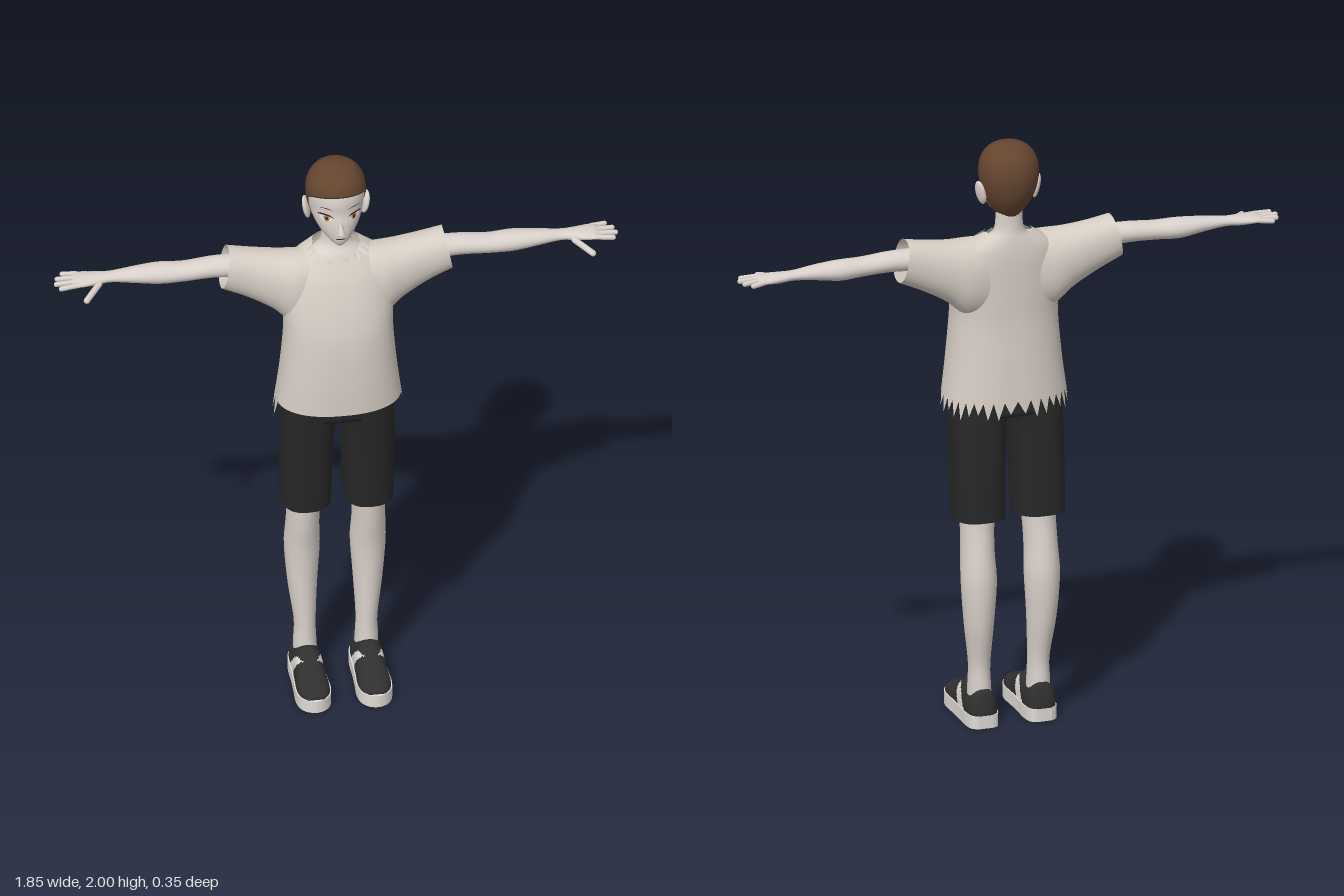
import * as THREE from 'three';

const mat = (name, color, side = THREE.FrontSide) => {
  const m = new THREE.MeshStandardMaterial({ color, side });
  m.name = name;
  return m;
};

// Smooth lookup in rows sorted by their first number
function at(rows, key) {
  const n = rows.length;
  let k = 0;
  while (k < n - 2 && key > rows[k + 1][0]) k++;
  const r0 = rows[k], r1 = rows[k + 1], h = r1[0] - r0[0];
  const t = Math.min(1, Math.max(0, (key - r0[0]) / h)), t2 = t * t, t3 = t2 * t;
  const slope = (i, c) => {
    const a = rows[Math.max(0, i - 1)], b = rows[Math.min(n - 1, i + 1)];
    return (b[c] - a[c]) / (b[0] - a[0]);
  };
  return r0.map((v, c) => c === 0 ? key
    : (2 * t3 - 3 * t2 + 1) * v + (t3 - 2 * t2 + t) * h * slope(k, c)
    + (3 * t2 - 2 * t3) * r1[c] + (t3 - t2) * h * slope(k + 1, c));
}

// Loft of rounded sections; each row is [key, lo1, hi1, lo2, hi2]
// axis y: extents in x, z; axis x: extents in z, y; axis z: extents in y, x
const PLACE = { y: (k, a, b) => [a, k, b], x: (k, a, b) => [k, b, a], z: (k, a, b) => [b, a, k] };
function loft(axis, rows, o = {}) {
  const { nu = 28, nv = 32, power = 2, grow = 0, warp, pick, caps = true, ease = false } = o;
  const lo = o.lo ?? (() => rows[0][0]), hi = o.hi ?? (() => rows[rows.length - 1][0]);
  const pos = [], rings = [];
  const pw = v => Math.sign(v) * Math.abs(v) ** (2 / power);
  for (let i = 0; i <= nu; i++) {
    const ring = [], u = ease ? Math.sin(i / nu * Math.PI / 2) : i / nu;
    for (let j = 0; j < nv; j++) {
      const a = j / nv * Math.PI * 2, l = lo(a, j);
      const r = at(rows, l + (hi(a, j) - l) * u);
      const p = PLACE[axis](r[0],
        (r[1] + r[2]) / 2 + ((r[2] - r[1]) / 2 + grow) * pw(Math.cos(a)),
        (r[3] + r[4]) / 2 + ((r[4] - r[3]) / 2 + grow) * pw(Math.sin(a)));
      if (warp) warp(p, u, a);
      ring.push(p);
    }
    rings.push(ring);
  }
  if (caps) {
    const flat = ring => {
      const c = [0, 1, 2].map(d => ring.reduce((s, p) => s + p[d], 0) / nv);
      return ring.map(() => c);
    };
    rings.unshift(flat(rings[0]));
    rings.push(flat(rings[rings.length - 1]));
  }
  rings.forEach(r => r.forEach(p => pos.push(...p)));
  const lists = [[], []];
  for (let i = 0; i < rings.length - 1; i++) for (let j = 0; j < nv; j++) {
    const A = i * nv + j, B = i * nv + (j + 1) % nv, C = A + nv, D = B + nv;
    const mid = [0, 1, 2].map(d => (pos[A * 3 + d] + pos[D * 3 + d]) / 2);
    lists[pick ? pick(mid) : 0].push(A, C, B, B, C, D);
  }
  const g = new THREE.BufferGeometry();
  g.setAttribute('position', new THREE.Float32BufferAttribute(pos, 3));
  g.setIndex([...lists[0], ...lists[1]]);
  if (pick) {
    g.addGroup(0, lists[0].length, 0);
    g.addGroup(lists[0].length, lists[1].length, 1);
  }
  g.computeVertexNormals();
  return g;
}

// Copy of a geometry reflected to the other side
function mirrored(geo) {
  const g = geo.clone().scale(-1, 1, 1);
  const idx = g.index ? Array.from(g.index.array) : [...Array(g.attributes.position.count).keys()];
  for (let i = 0; i < idx.length; i += 3) [idx[i + 1], idx[i + 2]] = [idx[i + 2], idx[i + 1]];
  return g.setIndex(idx);
}

// Rounded finger between two points
function finger(p, q, r) {
  const a = new THREE.Vector3(...p), b = new THREE.Vector3(...q), d = b.clone().sub(a);
  const g = new THREE.CapsuleGeometry(r, d.length() - r, 4, 10);
  g.applyQuaternion(new THREE.Quaternion().setFromUnitVectors(new THREE.Vector3(0, 1, 0), d.normalize()));
  const m = a.add(b).multiplyScalar(0.5);
  return g.translate(m.x, m.y, m.z);
}

const HEAD = [
  [1.736, -0.018, 0.018, -0.085, 0.03], [1.75, -0.036, 0.036, -0.1, 0.042],
  [1.78, -0.06, 0.06, -0.125, 0.047], [1.82, -0.08, 0.08, -0.15, 0.045],
  [1.86, -0.09, 0.09, -0.163, 0.038], [1.9, -0.094, 0.094, -0.167, 0.038],
  [1.94, -0.088, 0.088, -0.158, 0.028], [1.97, -0.07, 0.07, -0.138, 0.006],
  [1.988, -0.045, 0.045, -0.112, -0.022], [1.997, -0.01, 0.01, -0.078, -0.058]];

// Thin painted patch laid on the front of the head
function facePatch(points, off) {
  const g = new THREE.ShapeGeometry(new THREE.Shape(points.map(p => new THREE.Vector2(...p))));
  const p = g.attributes.position;
  for (let i = 0; i < p.count; i++) {
    const r = at(HEAD, p.getY(i));
    const s = Math.sqrt(Math.max(0, 1 - (p.getX(i) / r[2]) ** 2));
    p.setZ(i, (r[3] + r[4]) / 2 + (r[4] - r[3]) / 2 * s + off);
  }
  g.computeVertexNormals();
  return g;
}
const oval = (x, y, rx, ry) => Array.from({ length: 20 }, (_, i) =>
  [x + rx * Math.cos(i * Math.PI / 10), y + ry * Math.sin(i * Math.PI / 10)]);

export function createModel() {
  const skin = mat('skin', 0xd9d0ca), shirt = mat('shirt cloth', 0xd6cdc4, THREE.DoubleSide);
  const black = mat('shorts cloth', 0x272727, THREE.DoubleSide), hairM = mat('brown hair', 0x64452f);
  const leather = mat('shoe leather', 0x303030), pale = mat('pale trim', 0xdedad4);
  const dark = mat('dark lines', 0x2b2320), amber = mat('amber iris', 0xb5854a), white = mat('eye white', 0xf0ece8);
  const model = new THREE.Group();
  const add = (name, geo, m) => {
    const mesh = new THREE.Mesh(geo, m);
    mesh.name = name;
    model.add(mesh);
  };
  const pair = (name, geo, m) => {
    add(name + 'Left', geo, m);
    add(name + 'Right', mirrored(geo), m);
  };

  // Head, hair cap with a shaped hairline, ears and nose
  add('head', loft('y', HEAD, { nu: 40, nv: 40 }), skin);
  const LINE = [[-1, 1.745], [-0.5, 1.757], [-0.25, 1.79], [0, 1.85], [0.15, 1.885], [0.5, 1.91], [1, 1.928]];
  add('hair', loft('y', HEAD, {
    nv: 64, grow: 0.004, ease: true, lo: a => at(LINE, Math.sin(a))[1],
    warp: (p, u) => { p[1] += 0.003 * u; }
  }), hairM);
  const ear = new THREE.SphereGeometry(1, 16, 12).scale(0.011, 0.042, 0.024);
  pair('ear', ear.rotateZ(-0.2).rotateY(0.35).translate(0.096, 1.835, -0.067), skin);
  const nose = new THREE.ConeGeometry(0.013, 0.05, 12).scale(1, 1, 1.3).rotateX(-0.25);
  add('nose', nose.translate(0, 1.822, 0.046), skin);

  // Eyes, lashes, brows and mouth
  pair('eyeWhite', facePatch(oval(0.046, 1.85, 0.02, 0.011), 0.003), white);
  pair('iris', facePatch(oval(0.045, 1.85, 0.009, 0.011), 0.005), amber);
  pair('pupil', facePatch(oval(0.045, 1.85, 0.004, 0.006), 0.006), dark);
  pair('lash', facePatch([[0.022, 1.853], [0.035, 1.859], [0.05, 1.861], [0.073, 1.856],
    [0.066, 1.864], [0.05, 1.867], [0.034, 1.864]], 0.007), dark);
  pair('brow', facePatch([[0.02, 1.879], [0.045, 1.886], [0.07, 1.883], [0.045, 1.889]], 0.004), dark);
  add('mouth', facePatch(oval(0, 1.774, 0.017, 0.0018), 0.003), dark);

  add('neck', loft('y', [
    [1.6, -0.1, 0.1, -0.12, 0.01], [1.66, -0.09, 0.09, -0.12, 0.0], [1.69, -0.056, 0.056, -0.112, -0.022],
    [1.72, -0.046, 0.046, -0.108, -0.03], [1.8, -0.045, 0.045, -0.105, -0.03]]), skin);

  // Shirt body with a torn neckline and a torn back hem
  add('shirtBody', loft('y', [
    [1.06, -0.215, 0.215, -0.165, 0.128], [1.13, -0.205, 0.205, -0.16, 0.127],
    [1.25, -0.19, 0.19, -0.152, 0.126], [1.4, -0.178, 0.178, -0.142, 0.115],
    [1.5, -0.18, 0.18, -0.142, 0.09], [1.6, -0.172, 0.172, -0.142, 0.052],
    [1.65, -0.145, 0.145, -0.138, 0.022], [1.68, -0.1, 0.1, -0.132, 0.002],
    [1.695, -0.075, 0.075, -0.128, -0.012]], {
    nu: 36, nv: 72, power: 2.3, caps: false,
    lo: (a, j) => Math.sin(a) < 0.12 && j % 2 ? 1.08 + 0.012 * Math.sin(j * 2.3) : 1.13,
    hi: (a, j) => 1.695 - 0.014 * Math.max(0, Math.sin(a)) - (Math.sin(a) > 0.3 && j % 4 < 2 ? 0.022 : 0)
  }), shirt);
  pair('sleeve', loft('x', [
    [0.06, -0.13, 0.03, 1.41, 1.675], [0.14, -0.14, 0.042, 1.42, 1.674], [0.2, -0.135, 0.026, 1.472, 1.676],
    [0.28, -0.13, 0.01, 1.52, 1.686], [0.365, -0.128, 0.004, 1.56, 1.7]], {
    caps: false, power: 2.2, warp: (p, u) => { p[0] += (1.63 - p[1]) * 0.2 * u; }
  }), shirt);

  // Arms, hands and fingers
  pair('arm', loft('x', [
    [0.2, -0.112, -0.018, 1.585, 1.668], [0.4, -0.105, -0.023, 1.6, 1.668], [0.5, -0.102, -0.023, 1.597, 1.66],
    [0.58, -0.109, -0.025, 1.594, 1.661], [0.66, -0.1, -0.033, 1.605, 1.655], [0.74, -0.092, -0.044, 1.614, 1.646],
    [0.79, -0.1, -0.035, 1.612, 1.645], [0.84, -0.11, -0.024, 1.617, 1.642], [0.862, -0.107, -0.028, 1.621, 1.637]],
    { nu: 36, nv: 24 }), skin);
  [[-0.1, -0.112, 0.892], [-0.078, -0.085, 0.913], [-0.056, -0.056, 0.92], [-0.035, -0.028, 0.908]].forEach(([z0, z1, x], i) =>
    pair('finger' + (i + 1), finger([0.84, 1.63, z0], [x, 1.626, z1], 0.0085), skin));
  pair('thumb', finger([0.775, 1.623, -0.045], [0.832, 1.607, 0.028], 0.0105), skin);

  // Shorts
  add('shortsHips', loft('y', [
    [1.07, -0.183, 0.183, -0.138, 0.08], [1.11, -0.184, 0.184, -0.135, 0.087],
    [1.17, -0.178, 0.178, -0.132, 0.09]], { power: 2.6, nu: 8 }), black);
  pair('shortsLeg', loft('y', [
    [0.7, 0.02, 0.185, -0.155, 0.042], [0.9, 0.016, 0.186, -0.148, 0.062],
    [1.04, 0.008, 0.185, -0.14, 0.076], [1.12, -0.01, 0.182, -0.135, 0.085]], {
    power: 2.6, caps: false,
    warp: (p, u) => { p[1] += (1 - u) * (0.04 - p[2]) * 0.1; }
  }), black);

  // Legs
  pair('leg', loft('y', [
    [0.07, 0.06, 0.14, -0.115, -0.015], [0.14, 0.064, 0.138, -0.112, -0.02], [0.2, 0.066, 0.136, -0.11, -0.022],
    [0.35, 0.059, 0.155, -0.138, -0.022], [0.5, 0.05, 0.166, -0.149, -0.016], [0.6, 0.054, 0.162, -0.138, 0.0],
    [0.7, 0.05, 0.16, -0.125, 0.012], [0.85, 0.035, 0.168, -0.125, 0.03]]), skin);

  // Shoes: rounded upper with pale side stripe, on a pale sole
  const SHOE = [[-0.133, 0.022, 0.07], [-0.118, 0.042, 0.125], [-0.08, 0.05, 0.122], [-0.03, 0.05, 0.13], [0, 0.05, 0.138],
    [0.05, 0.052, 0.108], [0.1, 0.054, 0.088], [0.14, 0.046, 0.074], [0.165, 0.026, 0.056]];
  pair('shoeUpper', loft('z', SHOE.map(([z, w, top]) => [z, 0.08 - top, top, 0.1 - w, 0.1 + w]), {
    nu: 64, nv: 64, power: 2.3, warp: p => { p[1] = Math.max(p[1], 0.038); },
    pick: ([x, y, z]) => Math.abs(x - 0.1) > 0.02 && y < 0.112
      && z > -0.055 + (y - 0.045) * 0.9 && z < 0.005 + (y - 0.045) * 0.5 ? 1 : 0
  }), [leather, pale]);
  const edge = [...SHOE.map(([z, w]) => [0.1 + w + 0.004, -z]), ...SHOE.map(([z, w]) => [0.1 - w - 0.004, -z]).reverse()];
  edge.splice(SHOE.length, 0, [0.1, -0.175]);
  const outline = new THREE.Shape(new THREE.SplineCurve([...edge, edge[0]].map(p => new THREE.Vector2(...p))).getPoints(60));
  const sole = new THREE.ExtrudeGeometry(outline, { depth: 0.044, bevelEnabled: false }).rotateX(-Math.PI / 2);
  pair('shoeSole', sole, pale);

  return model;
}
